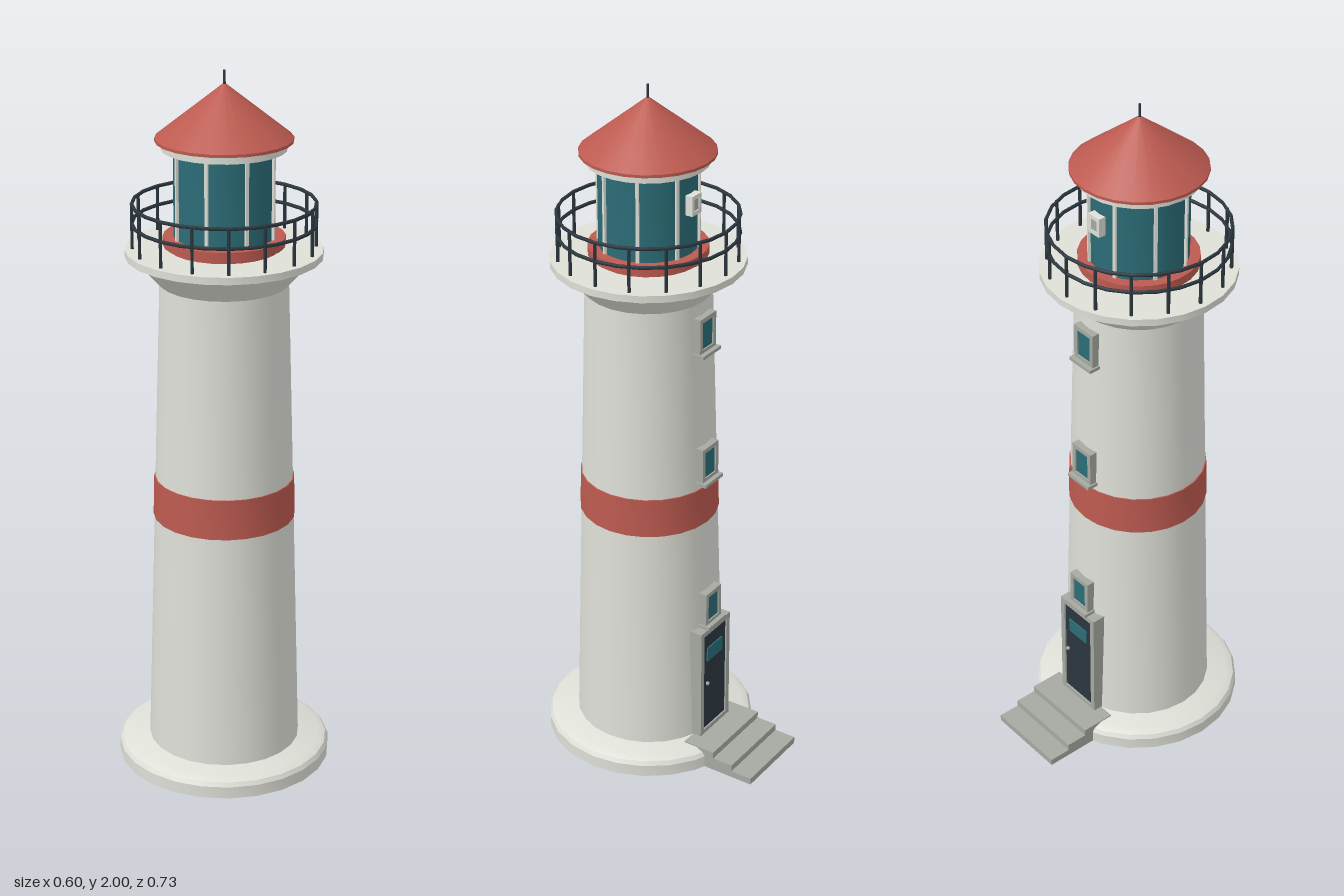
import * as THREE from 'three';
import { toCreasedNormals } from 'three/addons/utils/BufferGeometryUtils.js';

const SIDES = 24;
const mat = (name, color) => {
  const m = new THREE.MeshStandardMaterial({ color });
  m.name = name;
  return m;
};

export function createModel() {
  const white = mat('whitePlaster', 0xdedfd7);
  const stone = mat('greyStone', 0xa6a9a2);
  const red = mat('redPaint', 0xbc5a50);
  const teal = mat('tealGlass', 0x2b6c76);
  const slate = mat('darkSlate', 0x2b363e);

  const model = new THREE.Group();
  model.name = 'lighthouse';
  // The round tower stands slightly forward of the steps
  const tower = new THREE.Group();
  tower.name = 'tower';
  tower.position.z = 0.063;
  model.add(tower);

  const add = (parent, name, geo, material, x = 0, y = 0, z = 0) => {
    const mesh = new THREE.Mesh(geo, material);
    mesh.name = name;
    mesh.position.set(x, y, z);
    parent.add(mesh);
    return mesh;
  };
  const lathe = (name, profile, material) => {
    const points = profile.map(([r, y]) => new THREE.Vector2(r, y));
    return add(tower, name, toCreasedNormals(new THREE.LatheGeometry(points, SIDES), 0.5), material);
  };
  const box = (parent, name, size, pos, material) =>
    add(parent, name, new THREE.BoxGeometry(...size), material, ...pos);

  // Masonry
  lathe('plinth', [[0, 0], [0.302, 0], [0.302, 0.035], [0.295, 0.047], [0.275, 0.057], [0, 0.057]], white);
  lathe('shaft', [[0.215, 0.055], [0.175, 1.43]], white);
  lathe('band', [[0.19, 0.745], [0.198, 0.745], [0.195, 0.86], [0.185, 0.86]], red);
  lathe('gallery', [[0.17, 1.422], [0.177, 1.422], [0.245, 1.497], [0.268, 1.497], [0.268, 1.517], [0, 1.517]], white);

  // Lantern room
  lathe('lanternBase', [[0.15, 1.515], [0.15, 1.527], [0.165, 1.527], [0.165, 1.552], [0, 1.552]], red);
  lathe('lanternGlass', [[0.136, 1.55], [0.136, 1.795]], teal);
  lathe('lanternCornice', [[0, 1.79], [0.168, 1.79], [0.168, 1.815], [0, 1.815]], white);
  lathe('roof', [[0, 1.812], [0.185, 1.812], [0.185, 1.82], [0.005, 1.963], [0, 1.963]], red);
  add(tower, 'finial', new THREE.CylinderGeometry(0.003, 0.004, 0.045, 8), slate, 0, 1.9775, 0);
  for (let i = 0; i < 8; i++) {
    const a = (i + 0.5) * Math.PI / 4;
    const bar = box(tower, 'glazingBar', [0.009, 0.24, 0.012],
      [0.136 * Math.sin(a), 1.671, 0.136 * Math.cos(a)], white);
    bar.rotation.y = a;
  }

  // Gallery railing
  for (const y of [1.588, 1.641]) {
    const ring = new THREE.TorusGeometry(0.247, 0.005, 6, SIDES);
    ring.rotateX(Math.PI / 2);
    add(tower, 'rail', ring, slate, 0, y, 0);
  }
  for (let i = 0; i < 16; i++) {
    const a = i * Math.PI / 8;
    add(tower, 'railPost', new THREE.CylinderGeometry(0.005, 0.005, 0.126, 6), slate,
      0.247 * Math.sin(a), 1.579, 0.247 * Math.cos(a));
  }

  // Rectangular frame with an opening, built facing +z with its face at z = 0
  const frameGeometry = (w, h, border, depth) => {
    const rect = (C, a, b) => new C([[-a, -b], [a, -b], [a, b], [-a, b]].map(p => new THREE.Vector2(...p)));
    const shape = rect(THREE.Shape, w / 2, h / 2);
    shape.holes.push(rect(THREE.Path, w / 2 - border, h / 2 - border));
    const geo = new THREE.ExtrudeGeometry(shape, { depth, bevelEnabled: false });
    return geo.translate(0, 0, -depth);
  };
  const backGroup = (name, y, z) => {
    const g = new THREE.Group();
    g.name = name;
    g.position.set(0, y, z);
    g.rotation.y = Math.PI;
    model.add(g);
    return g;
  };

  // Windows up the back of the shaft
  for (const [y, z] of [[1.332, -0.131], [0.938, -0.143], [0.472, -0.158]]) {
    const g = backGroup('window', y, z);
    add(g, 'windowFrame', frameGeometry(0.078, 0.106, 0.013, 0.04), stone);
    box(g, 'windowPane', [0.054, 0.082, 0.008], [0, 0, -0.008], teal);
    box(g, 'windowSill', [0.088, 0.01, 0.045], [0, -0.055, -0.009], stone);
  }

  // Door with a small light and a knob
  const door = backGroup('door', 0.235, -0.166);
  add(door, 'doorFrame', frameGeometry(0.15, 0.355, 0.016, 0.045), stone);
  box(door, 'doorLeaf', [0.12, 0.325, 0.03], [0, 0, -0.02], slate);
  box(door, 'doorLight', [0.078, 0.045, 0.006], [0, 0.09, -0.004], teal);
  add(door, 'doorKnob', new THREE.SphereGeometry(0.006, 10, 8), stone, -0.043, -0.005, 0.002);

  // Small hatch on the lantern glass
  const hatch = backGroup('lanternHatch', 1.698, -0.092);
  add(hatch, 'hatchFrame', frameGeometry(0.044, 0.056, 0.011, 0.025), white);
  box(hatch, 'hatchPanel', [0.024, 0.036, 0.006], [0, 0, -0.006], stone);

  // Three steps up to the door
  [[0.02, -0.368], [0.04, -0.303], [0.06, -0.24]].forEach(([top, front], i) => {
    const back = i === 2 ? -0.14 : -0.17;
    box(model, 'step', [0.244, top, back - front], [0, top / 2, (back + front) / 2], stone);
  });

  return model;
}
